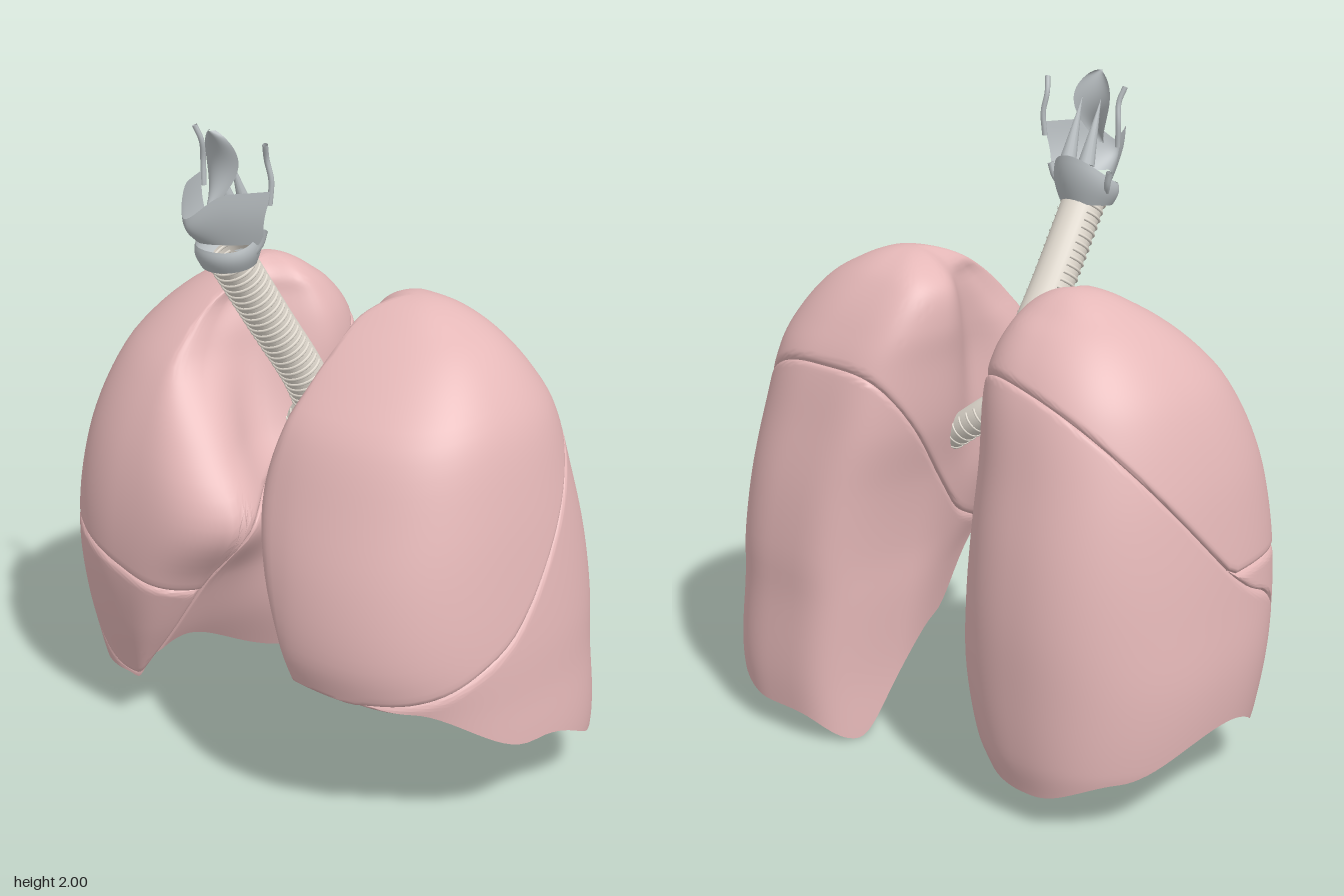
import * as THREE from 'three';
import { mergeVertices, toCreasedNormals } from 'three/addons/utils/BufferGeometryUtils.js';

const PINK = 0xe5b8b8, CREAM = 0xe4ddd2, GREY = 0xb9bfc2;
const { lerp, smoothstep, clamp } = THREE.MathUtils;
const V = (x, y, z) => new THREE.Vector3(x, y, z);
const mat = (color, side = THREE.FrontSide) => new THREE.MeshStandardMaterial({ color, side });

function add(parent, name, geometry, material) {
  const mesh = new THREE.Mesh(geometry, material);
  mesh.name = name;
  parent.add(mesh);
  return mesh;
}

// Smooth interpolation through rows [key, ...values] with rising keys
function smoothTable(rows) {
  const slope = (i, c) => {
    const a = rows[Math.max(i - 1, 0)], b = rows[Math.min(i + 1, rows.length - 1)];
    return (b[c] - a[c]) / (b[0] - a[0]);
  };
  return (key) => {
    const k = clamp(key, rows[0][0], rows[rows.length - 1][0]);
    let i = 0;
    while (i < rows.length - 2 && k > rows[i + 1][0]) i++;
    const a = rows[i], b = rows[i + 1], h = b[0] - a[0], u = (k - a[0]) / h;
    return a.slice(1).map((_, j) => {
      const c = j + 1;
      return a[c] * (1 + 2 * u) * (1 - u) ** 2 + slope(i, c) * h * u * (1 - u) ** 2
        + b[c] * u * u * (3 - 2 * u) + slope(i + 1, c) * h * u * u * (u - 1);
    });
  };
}

// Smooth surface through a grid of points
function gridGeometry(rowsOfPoints, flip = false) {
  const pos = [], index = [], n = rowsOfPoints[0].length;
  rowsOfPoints.forEach((row) => row.forEach((p) => pos.push(p.x, p.y, p.z)));
  for (let i = 0; i < rowsOfPoints.length - 1; i++) {
    for (let j = 0; j < n - 1; j++) {
      const a = i * n + j, b = a + 1, c = a + n, d = c + 1;
      if (flip) index.push(a, c, b, b, c, d);
      else index.push(a, b, c, b, d, c);
    }
  }
  const g = new THREE.BufferGeometry();
  g.setAttribute('position', new THREE.Float32BufferAttribute(pos, 3));
  g.setIndex(index);
  const merged = mergeVertices(g, 1e-4);
  merged.computeVertexNormals();
  return merged;
}

const sheet = (fn, nu, nv) => gridGeometry(Array.from({ length: nu + 1 }, (_, i) =>
  Array.from({ length: nv + 1 }, (__, j) => fn(i / nu, j / nv))));

// Point on a lung: t = -1 middle of the underside, 0 lower margin, 1 apex
function lungSurface({ sections, margin, domeY, shoulder, medialFront, medialBack, skew }) {
  const top = sections[0][0];
  const table = smoothTable(sections.map(([y, ...r]) => [Math.sqrt(top - y), ...r]));
  const marginY = (th) => {
    const k = (th / (Math.PI / 4)) % 8, i = Math.floor(k);
    return lerp(margin[i], margin[(i + 1) % 8], smoothstep(k - i, 0, 1));
  };
  const wall = (th, s) => {
    const [out, back, front, zb, zf] = table(s);
    const c = Math.cos(th), sn = Math.sin(th), y = top - s * s;
    const zn = Math.sign(sn) * Math.abs(sn) ** 0.88;
    // the front of the section leans towards the midline
    const xc = (out + back) / 2 - skew * (out - back) * Math.max(zn, 0) ** 2;
    let x = xc + (out - xc) * Math.abs(c) ** (sn > 0 ? shoulder : 0.88);
    if (c < 0) {
      // medial face, hollowed at the root of the lung
      const inner = lerp(back, front, smoothstep(zn, -0.4, 0.75));
      const dent = 0.32 * Math.exp(-(((zn - 0.25) / 0.32) ** 2)) * Math.exp(-(((y - 1.1) / 0.35) ** 2));
      x = xc + (inner - xc) * Math.abs(c) ** (sn > 0 ? medialFront : medialBack) * (1 - dent);
    }
    return V(x, y, (zf + zb) / 2 + zn * (zf - zb) / 2);
  };
  return (th, t) => {
    const sE = Math.sqrt(top - marginY(th));
    if (t >= 0) return wall(th, sE * (1 - t));
    const e = wall(th, sE), r = t + 1;
    return V(lerp(0.5, e.x, r), lerp(domeY, e.y, r ** 2.2), lerp(-0.04, e.z, r));
  };
}

// One lobe: the surface between two fissures, with rounded rims and closed walls
function lobeGeometry(surface, from, to, side) {
  const columns = 112, under = 20, up = 44, core = V(0.47, 0.8, 0), rim = 0.022;
  const ease = (v) => 0.5 - 0.5 * Math.cos(Math.PI * v);
  const bend = (d) => (d >= rim ? 0 : 0.016 * (1 - Math.sqrt(1 - (1 - d / rim) ** 2)));
  const grid = [];
  for (let i = 0; i <= columns; i++) {
    const th = ((i % columns) / columns) * Math.PI * 2;
    const t0 = from(th), t1 = Math.max(to(th), t0), mid = clamp(0, t0, t1);
    const ts = [];
    for (let j = 0; j <= under; j++) ts.push(lerp(t0, mid, ease(j / under)));
    for (let j = 1; j <= up; j++) ts.push(lerp(mid, t1, ease(j / up)));
    const start = surface(th, t0), end = surface(th, t1);
    const row = ts.map((t) => {
      const p = surface(th, t);
      const pull = Math.max(t0 > -1 ? bend(p.distanceTo(start)) : 0, t1 < 1 ? bend(p.distanceTo(end)) : 0);
      return p.addScaledVector(core.clone().sub(p).normalize(), pull);
    });
    if (t0 > -1) row.unshift(start.lerp(core, 0.2));
    if (t1 < 1) row.push(end.lerp(core, 0.2));
    row.forEach((p) => { p.x *= side; });
    grid.push(row);
  }
  return toCreasedNormals(gridGeometry(grid, side < 0), 0.9);
}

// Where a column of the surface crosses a fissure
function crossing(surface, height) {
  return (th) => {
    let lo = -0.999, hi = 0.999;
    for (let k = 0; k < 26; k++) {
      const m = (lo + hi) / 2, p = surface(th, m);
      if (p.y < height(p)) lo = m; else hi = m;
    }
    return lo;
  };
}

function lung(name, side, spec) {
  const group = new THREE.Group();
  group.name = name;
  const surface = lungSurface(spec), material = mat(PINK), slant = smoothTable(spec.oblique);
  const oblique = crossing(surface, (p) => slant(p.z)[0] + spec.tilt * (0.5 - p.x));
  let upperFrom = oblique;
  if (spec.horizontal) {
    const level = crossing(surface, spec.horizontal);
    upperFrom = (th) => Math.max(oblique(th), level(th));
    add(group, 'middleLobe', lobeGeometry(surface, oblique, upperFrom, side), material);
  }
  add(group, 'upperLobe', lobeGeometry(surface, upperFrom, () => 1, side), material);
  add(group, 'lowerLobe', lobeGeometry(surface, () => -1, oblique, side), material);
  return group;
}

// Airway tube with C-shaped cartilage rings, open at the back
function airway(name, points, radius, rings) {
  const group = new THREE.Group(), material = mat(CREAM);
  group.name = name;
  const path = new THREE.CatmullRomCurve3(points.map((p) => V(...p)));
  add(group, 'tube', new THREE.TubeGeometry(path, 40, radius, 24), mat(CREAM, THREE.DoubleSide));
  const ring = new THREE.TorusGeometry(radius, radius * 0.08, 6, 24, Math.PI * 1.4).rotateZ(Math.PI * 0.8);
  for (let i = 0; i < rings; i++) {
    const u = (i + 0.5) / rings, p = path.getPointAt(u);
    const mesh = add(group, 'ring', ring, material);
    mesh.position.copy(p);
    mesh.lookAt(p.add(path.getTangentAt(u)));
  }
  return group;
}

function larynx() {
  const group = new THREE.Group(), material = mat(GREY, THREE.DoubleSide), cx = -0.03;
  group.name = 'larynx';
  // shield with a notch at the front
  add(group, 'thyroidCartilage', sheet((u, v) => {
    const k = u * 2 - 1, a = Math.abs(k);
    const y = lerp(1.69 - 0.01 * a, 1.77 + 0.07 * smoothstep(a, 0, 0.6), v);
    return V(cx + k * lerp(0.11, 0.148, v), y,
      lerp(0.445, 0.5, v) + 0.015 * Math.sin(v * Math.PI) - lerp(0.14, 0.195, v) * a ** 1.5);
  }, 40, 10), material);
  // ring, tall at the back
  add(group, 'cricoidCartilage', sheet((u, v) => {
    const th = u * Math.PI * 2, back = (1 - Math.sin(th)) / 2;
    const r = 0.076 + 0.018 * Math.sin(v * Math.PI * 0.7);
    return V(cx + Math.cos(th) * r * 1.08, lerp(1.61 - 0.01 * Math.sin(th), 1.665 + 0.1 * back ** 2, v),
      0.338 + Math.sin(th) * r);
  }, 40, 8), material);
  // leaf standing above the opening
  add(group, 'epiglottis', sheet((u, v) => {
    const k = u * 2 - 1, w = 0.01 + 0.058 * Math.sin(Math.PI * v ** 1.5) ** 0.7 * (v < 1 ? 1 : 0);
    return V(cx + k * w, 1.78 + 0.22 * v, 0.42 - 0.045 * Math.sin(v * Math.PI * 0.9) - 0.018 * k * k);
  }, 14, 24), material);
  for (const s of [-1, 1]) {
    const horn = (name, pts, r) => add(group, name, new THREE.TubeGeometry(
      new THREE.CatmullRomCurve3(pts.map(([x, y, z]) => V(cx + s * x, y, z))), 16, r, 8), material);
    horn('upperHorn', [[0.138, 1.8, 0.308], [0.142, 1.87, 0.305], [0.135, 1.93, 0.315], [0.146, 1.975, 0.33]], 0.008);
    horn('lowerHorn', [[0.112, 1.72, 0.305], [0.1, 1.68, 0.31], [0.085, 1.65, 0.325]], 0.01);
    const arytenoid = add(group, 'arytenoid', new THREE.ConeGeometry(0.026, 0.2, 12), material);
    arytenoid.position.set(cx + s * 0.035, 1.83, 0.325);
    arytenoid.rotation.x = 0.35;
  }
  return group;
}

// Section rows: y, lateral x, medial x at back, medial x at front, back z, front z.
// Margin heights run from lateral through front, medial and back in eighths.
const LEFT = {
  sections: [
    [1.5, 0.3, 0.3, 0.3, -0.08, -0.08], [1.45, 0.48, 0.15, 0.2, -0.22, 0.08],
    [1.4, 0.57, 0.105, 0.21, -0.27, 0.16], [1.3, 0.67, 0.09, 0.19, -0.34, 0.28],
    [1.2, 0.73, 0.1, 0.15, -0.39, 0.37], [1.0, 0.78, 0.12, 0.11, -0.44, 0.45],
    [0.8, 0.81, 0.17, 0.17, -0.48, 0.5], [0.6, 0.83, 0.2, 0.29, -0.5, 0.51],
    [0.45, 0.835, 0.21, 0.36, -0.5, 0.47], [0.2, 0.84, 0.23, 0.38, -0.51, 0.4],
    [0, 0.8, 0.23, 0.4, -0.5, 0.35]],
  margin: [0.29, 0.47, 0.5, 0.58, 0.3, 0, 0.09, 0.16],
  domeY: 0.38, shoulder: 1.1, medialFront: 0.48, medialBack: 0.4, skew: 0.2, tilt: 0,
  oblique: [[-0.5, 1.3], [-0.4, 1.2], [0, 0.68], [0.2, 0.55], [0.35, 0.49], [0.5, 0.47]],
};
const RIGHT = {
  sections: [
    [1.48, 0.32, 0.32, 0.32, -0.08, -0.08], [1.43, 0.47, 0.19, 0.28, -0.2, 0.08],
    [1.38, 0.55, 0.15, 0.3, -0.27, 0.16], [1.3, 0.635, 0.11, 0.28, -0.34, 0.26],
    [1.2, 0.705, 0.09, 0.23, -0.39, 0.35], [1.0, 0.775, 0.09, 0.04, -0.44, 0.45],
    [0.8, 0.81, 0.08, -0.1, -0.48, 0.5], [0.6, 0.83, 0.07, 0.06, -0.5, 0.51],
    [0.4, 0.84, 0.07, 0.18, -0.5, 0.48], [0.2, 0.82, 0.12, 0.32, -0.49, 0.43],
    [0.1, 0.79, 0.18, 0.38, -0.47, 0.4]],
  margin: [0.26, 0.14, 0.17, 0.36, 0.22, 0.12, 0.1, 0.17],
  domeY: 0.53, shoulder: 0.92, medialFront: 0.55, medialBack: 0.8, skew: 0.08, tilt: 0.35,
  oblique: [[-0.5, 1.36], [-0.35, 1.2], [0, 0.84], [0.1, 0.76], [0.3, 0.62], [0.38, 0.4], [0.43, 0.12], [0.5, -0.2]],
  horizontal: (p) => 0.51 + 0.23 * p.x,
};

export function createModel() {
  const model = new THREE.Group();
  model.name = 'respiratorySystem';
  model.add(
    lung('leftLung', 1, LEFT),
    lung('rightLung', -1, RIGHT),
    airway('trachea', [[-0.03, 1.63, 0.335], [-0.035, 1.4, 0.18], [-0.03, 1.2, 0.05], [-0.03, 1.05, -0.02]], 0.064, 28),
    airway('leftBronchus', [[-0.03, 1.08, -0.01], [0.06, 1.01, -0.04], [0.17, 0.93, -0.04], [0.32, 0.84, 0]], 0.046, 14),
    airway('rightBronchus', [[-0.03, 1.08, -0.01], [-0.11, 1.03, -0.03], [-0.2, 0.95, -0.02], [-0.32, 0.87, 0]], 0.048, 12),
    airway('rightLowerBranch', [[-0.15, 1.0, -0.02], [-0.17, 0.92, 0.02], [-0.21, 0.82, 0.04]], 0.032, 8),
    larynx(),
  );
  return model;
}
